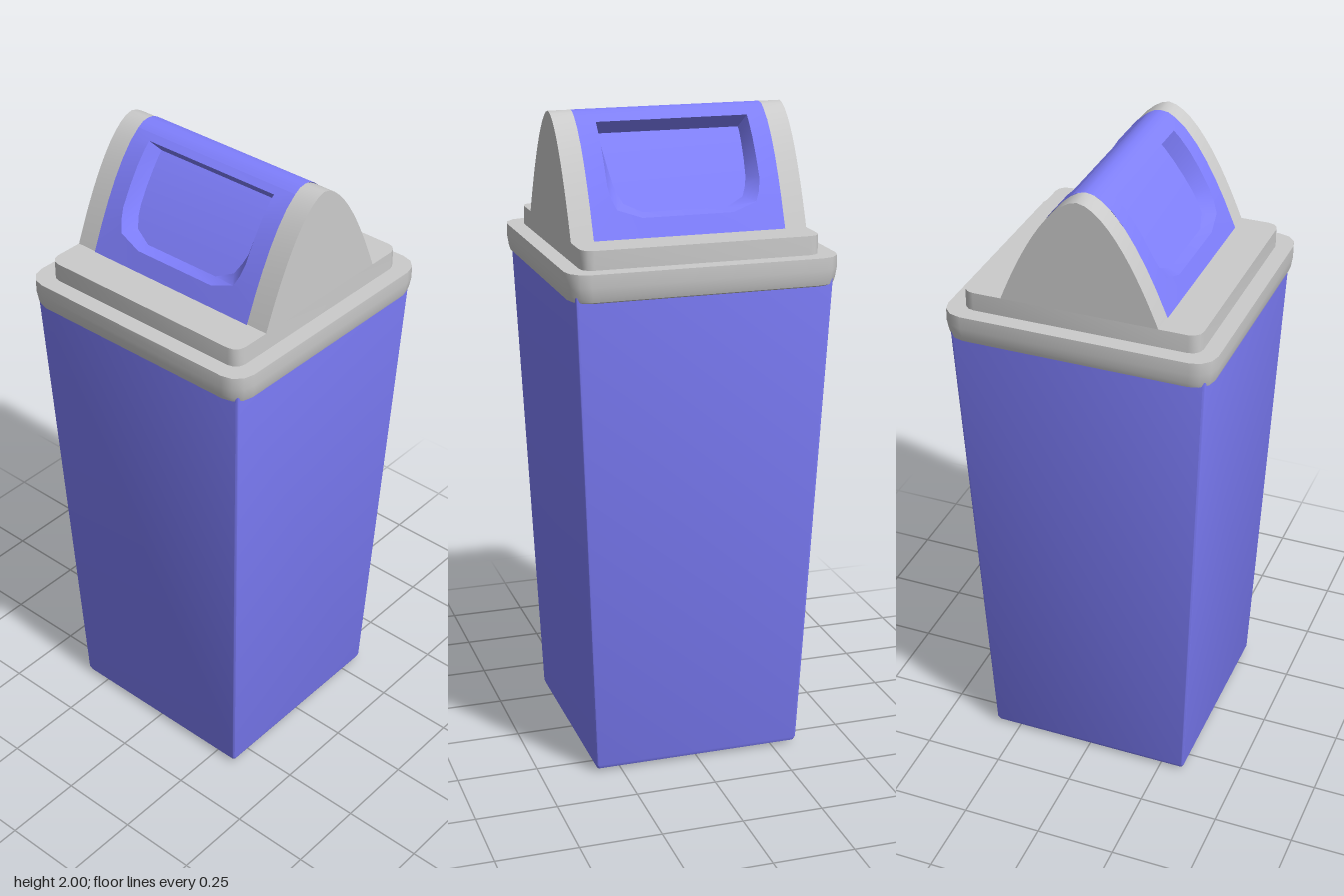
import * as THREE from 'three';
import { toCreasedNormals } from 'three/addons/utils/BufferGeometryUtils.js';

const grey = new THREE.MeshStandardMaterial({ color: 0xcccccc });
const blue = new THREE.MeshStandardMaterial({ color: 0x8080ff });
const blueThin = new THREE.MeshStandardMaterial({ color: 0x8080ff, side: THREE.DoubleSide });

const BASE = 1.655, TOP = 2, HALF_Z = 0.24, POWER = 1.74;

// Hood profile: height for a depth, and the inverse
const hoodY = z => TOP - (TOP - BASE) * Math.pow(Math.abs(z) / HALF_Z, POWER);
const hoodZ = y => HALF_Z * Math.pow((TOP - y) / (TOP - BASE), 1 / POWER);

function quad(out, a, b, c, d) {
  out.push(...a, ...b, ...c, ...a, ...c, ...d);
}

function makeMesh(name, positions, material, crease) {
  const geo = new THREE.BufferGeometry();
  geo.setAttribute('position', new THREE.Float32BufferAttribute(positions, 3));
  geo.computeVertexNormals();
  const mesh = new THREE.Mesh(toCreasedNormals(geo, crease), material);
  mesh.name = name;
  return mesh;
}

// Rounded square outline at height y
function squareRing(half, radius, y, segments = 3) {
  const ring = [];
  for (let corner = 0; corner < 4; corner++) {
    const mid = (corner + 0.5) * Math.PI / 2;
    const cx = Math.sign(Math.cos(mid)) * (half - radius);
    const cz = Math.sign(Math.sin(mid)) * (half - radius);
    for (let i = 0; i <= segments; i++) {
      const a = (corner + i / segments) * Math.PI / 2;
      ring.push([cx + radius * Math.cos(a), y, cz + radius * Math.sin(a)]);
    }
  }
  return ring;
}

// Closed solid through a stack of [half width, corner radius, height]
function squareStack(name, levels, material, crease = 0.6) {
  const rings = levels.map(l => squareRing(...l));
  const out = [], n = rings[0].length, last = rings.length - 1;
  const bottom = [0, levels[0][2], 0], top = [0, levels[last][2], 0];
  for (let j = 0; j < n; j++) {
    const k = (j + 1) % n;
    for (let i = 0; i < last; i++) {
      quad(out, rings[i][j], rings[i + 1][j], rings[i + 1][k], rings[i][k]);
    }
    out.push(...bottom, ...rings[0][j], ...rings[0][k]);
    out.push(...top, ...rings[last][k], ...rings[last][j]);
  }
  return makeMesh(name, out, material, crease);
}

// Solid end wall of the hood
function hoodEnd(name, x) {
  const shape = new THREE.Shape();
  shape.moveTo(-HALF_Z, BASE);
  for (let i = 1; i <= 32; i++) {
    const z = -HALF_Z * Math.cos(Math.PI * i / 32);
    shape.lineTo(z, hoodY(z));
  }
  const geo = new THREE.ExtrudeGeometry(shape, { depth: 0.07, bevelEnabled: false });
  geo.rotateY(-Math.PI / 2);
  geo.translate(x + 0.035, 0, 0);
  const mesh = new THREE.Mesh(toCreasedNormals(geo, 0.6), grey);
  mesh.name = name;
  return mesh;
}

// Curved flap with a scooped push recess; half outlines as [x, y], top to bottom
function flap(name) {
  const outer = [[0, 1.985], [0.295, 1.985], [0.295, 1.955], [0.295, 1.91], [0.295, 1.86],
    [0.295, 1.8], [0.295, 1.74], [0.295, 1.655], [0.14, 1.655], [0, 1.655]];
  const rim = [[0, 1.97], [0.235, 1.97], [0.235, 1.95], [0.235, 1.91], [0.235, 1.86],
    [0.235, 1.8], [0.228, 1.765], [0.215, 1.735], [0.14, 1.71], [0, 1.71]];
  const floor = [[0, 1.93], [0.22, 1.93], [0.22, 1.915], [0.217, 1.885], [0.213, 1.845],
    [0.207, 1.8], [0.2, 1.775], [0.185, 1.745], [0.13, 1.72], [0, 1.72]];
  const depth = y => 0.025 + 0.045 * (y - 1.72) / 0.21;
  const onFlap = side => ([x, y]) => [side * x, y, hoodZ(y) + 0.003];
  const onFloor = side => ([x, y]) => [side * x, y, hoodZ(y) - depth(y)];
  const out = [];
  for (const side of [1, -1]) {
    const loops = [outer.map(onFlap(side)), rim.map(onFlap(side)), floor.map(onFloor(side))];
    for (let l = 0; l < 2; l++) {
      for (let i = 0; i < outer.length - 1; i++) {
        const q = [loops[l][i], loops[l + 1][i], loops[l + 1][i + 1], loops[l][i + 1]];
        quad(out, ...(side > 0 ? q : q.reverse()));
      }
    }
  }
  // Recess floor in strips from right to left
  const a = floor.map(onFloor(1)), b = floor.map(onFloor(-1));
  for (let i = 1; i < floor.length - 2; i++) quad(out, a[i], b[i], b[i + 1], a[i + 1]);
  return makeMesh(name, out, blueThin, 0.5);
}

// Shallow ridge joining the two flaps
function flapRidge() {
  const e = hoodZ(1.985) + 0.003;
  const line = [[1.985, e], [1.997, 0.022], [2, 0], [1.997, -0.022], [1.985, -e]];
  const out = [];
  for (let i = 0; i < line.length - 1; i++) {
    const [y0, z0] = line[i], [y1, z1] = line[i + 1];
    quad(out, [-0.295, y0, z0], [0.295, y0, z0], [0.295, y1, z1], [-0.295, y1, z1]);
  }
  return makeMesh('flapRidge', out, blueThin, 0.8);
}

export function createModel() {
  const group = new THREE.Group();
  group.name = 'swingTopBin';

  // Tapered container
  group.add(squareStack('body', [
    [0.3, 0.008, 0], [0.325, 0.008, 0.01], [0.33, 0.008, 0.022], [0.392, 0.008, 1.53],
  ], blue));

  // Lid: rounded rim and raised step
  group.add(squareStack('lidRim', [
    [0.395, 0.05, 1.51], [0.405, 0.06, 1.515], [0.41, 0.065, 1.53],
    [0.414, 0.065, 1.56], [0.414, 0.065, 1.598],
  ], grey));
  group.add(squareStack('lidStep', [[0.363, 0.035, 1.59], [0.363, 0.035, BASE]], grey));

  // Hood ends and swing flaps
  group.add(hoodEnd('hoodEndLeft', 0.328), hoodEnd('hoodEndRight', -0.328));
  const back = flap('backFlap');
  back.rotation.y = Math.PI;
  group.add(flap('frontFlap'), back, flapRidge());
  return group;
}
